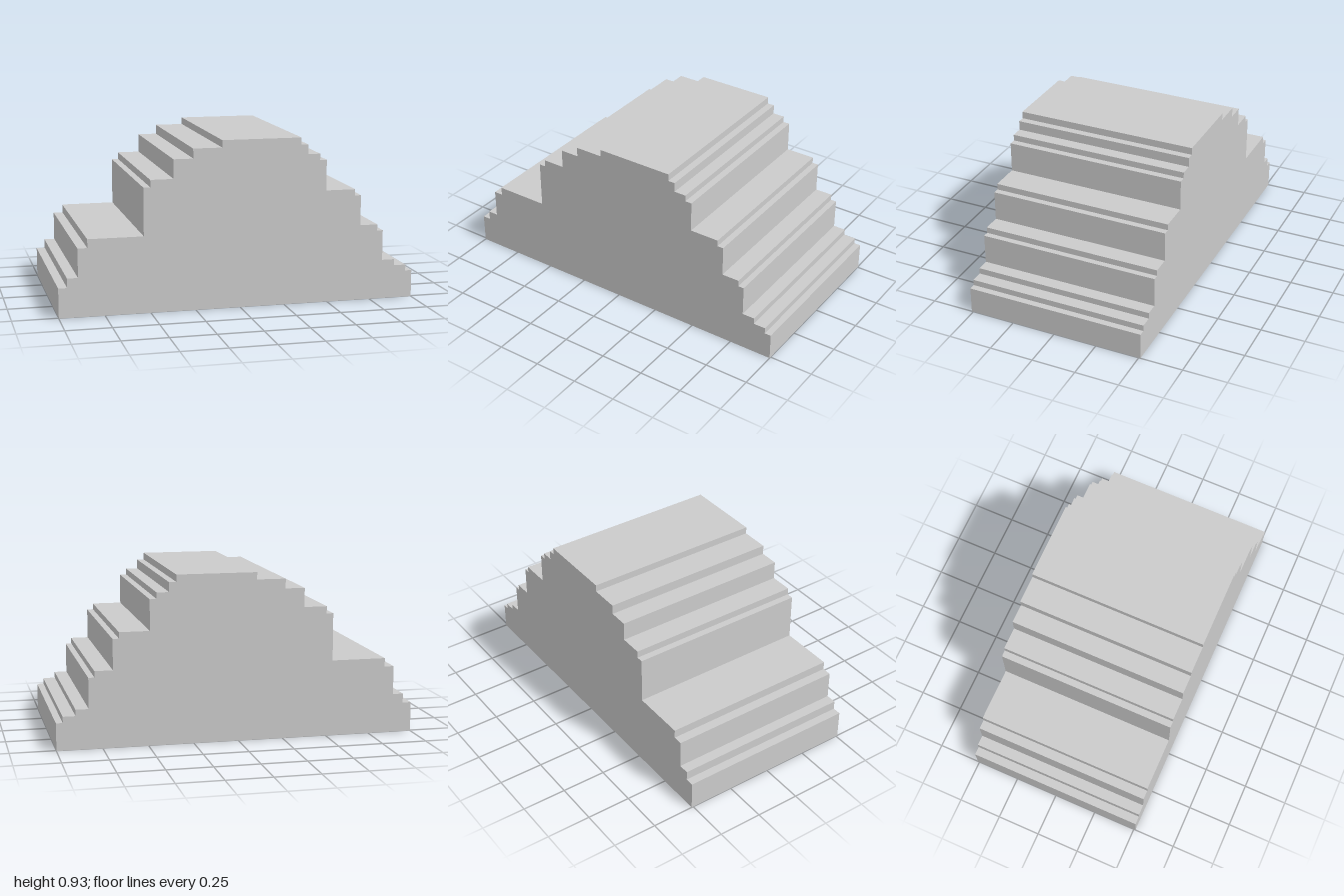
import * as THREE from 'three';

const HALF_DEPTH = 0.51;

// Steps from -x to +x: [height of the tread, x where it ends]
const STEPS = [
  [0.165, -0.952], [0.217, -0.893], [0.377, -0.84], [0.425, -0.535],
  [0.69, -0.497], [0.73, -0.37], [0.836, -0.262], [0.89, -0.102],
  [0.93, 0.342], [0.89, 0.382], [0.837, 0.45], [0.802, 0.488],
  [0.631, 0.655], [0.596, 0.69], [0.426, 0.79], [0.391, 0.823],
  [0.221, 0.894], [0.186, 0.963], [0.152, 1],
];

// Open stepped outline, from the ground at x = -1 to the ground at x = 1
function outline() {
  const points = [new THREE.Vector2(-1, 0)];
  let x = -1;
  for (const [y, end] of STEPS) {
    points.push(new THREE.Vector2(x, y), new THREE.Vector2(end, y));
    x = end;
  }
  points.push(new THREE.Vector2(1, 0));
  return points;
}

export function createModel() {
  const group = new THREE.Group();
  group.name = 'steppedMound';
  const material = new THREE.MeshStandardMaterial({
    color: 0xcccccc, flatShading: true, side: THREE.DoubleSide,
  });
  const add = (name, geometry) => {
    const mesh = new THREE.Mesh(geometry, material);
    mesh.name = name;
    group.add(mesh);
    return mesh;
  };
  const points = outline();

  // End walls: the back one is mirrored, then turned to face -z
  add('frontWall', new THREE.ShapeGeometry(new THREE.Shape(points))).position.z = HALF_DEPTH;
  const mirrored = points.map((p) => new THREE.Vector2(-p.x, p.y));
  const back = add('backWall', new THREE.ShapeGeometry(new THREE.Shape(mirrored)));
  back.rotation.y = Math.PI;
  back.position.z = -HALF_DEPTH;

  // Treads and risers: one quad per outline segment, the underside stays open
  const vertices = [];
  for (let i = 0; i < points.length - 1; i++) {
    const a = points[i], b = points[i + 1];
    const a0 = [a.x, a.y, HALF_DEPTH], a1 = [a.x, a.y, -HALF_DEPTH];
    const b0 = [b.x, b.y, HALF_DEPTH], b1 = [b.x, b.y, -HALF_DEPTH];
    vertices.push(...a0, ...b0, ...b1, ...a0, ...b1, ...a1);
  }
  const steps = new THREE.BufferGeometry();
  steps.setAttribute('position', new THREE.Float32BufferAttribute(vertices, 3));
  steps.computeVertexNormals();
  add('steps', steps);

  return group;
}
